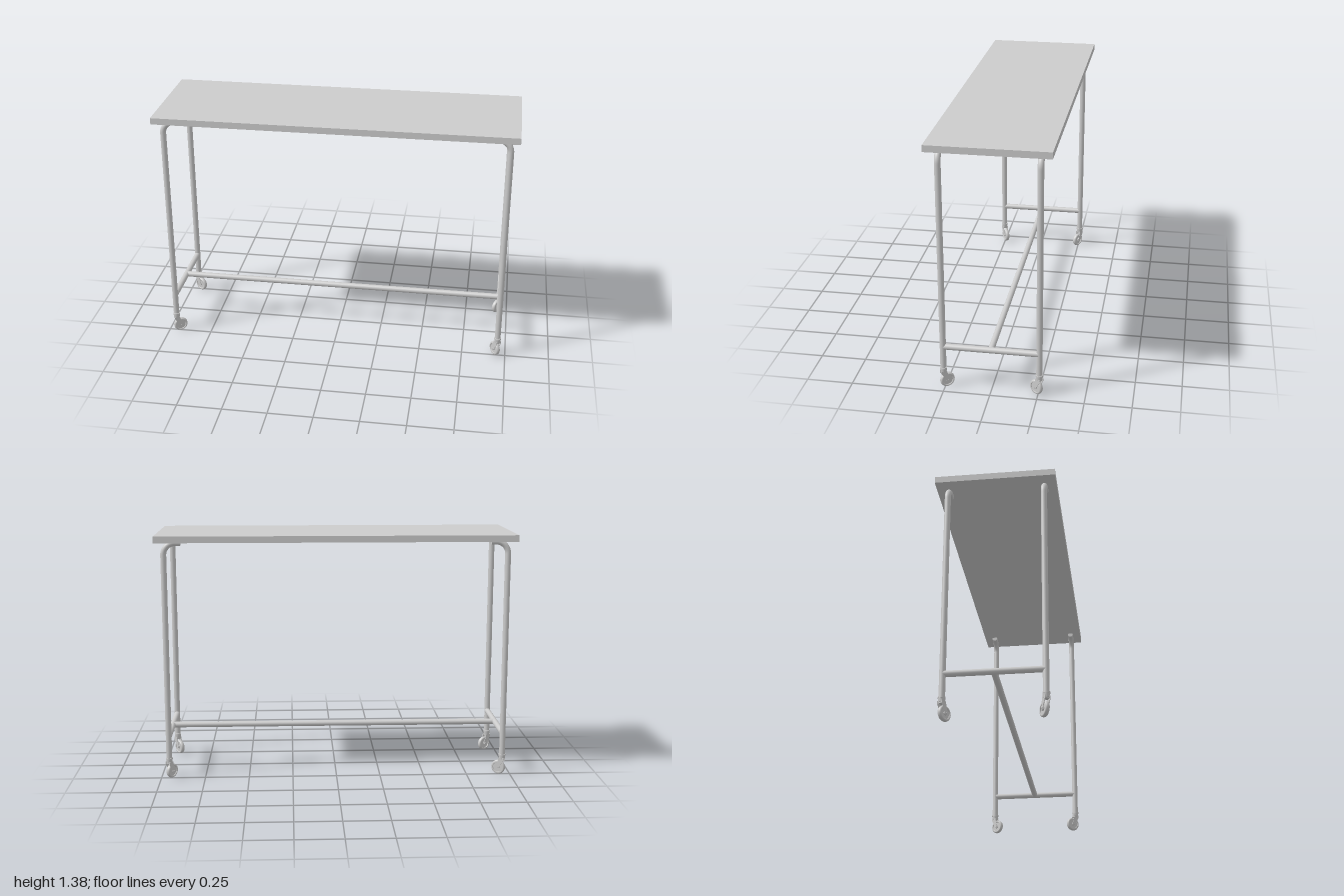
import * as THREE from 'three';

const grey = new THREE.MeshStandardMaterial({ color: 0xcccccc });
const LEG_X = 0.952, LEG_Z = 0.257, TUBE_R = 0.0165, RAIL_Y = 0.246;

function add(parent, name, geometry, x = 0, y = 0, z = 0) {
  const mesh = new THREE.Mesh(geometry, grey);
  mesh.name = name;
  mesh.position.set(x, y, z);
  parent.add(mesh);
  return mesh;
}

// Lathe around z from [radius, offset] pairs, each segment with its own crisp normals
function turned(points, segments = 40) {
  const profile = points.map(([r, o]) => new THREE.Vector2(r, o));
  return new THREE.LatheGeometry(profile, segments).rotateX(Math.PI / 2);
}

// Swivel caster; its wheel trails toward local +x
function makeCaster(heading) {
  const caster = new THREE.Group();
  caster.name = 'caster';
  const axleX = 0.021, axleY = 0.041;

  // Swivel head under the leg
  add(caster, 'stem', new THREE.CylinderGeometry(0.013, 0.013, 0.02, 24), 0, 0.122, 0);
  add(caster, 'swivelCollar', new THREE.CylinderGeometry(0.0195, 0.0195, 0.009, 32), 0, 0.1175, 0);
  add(caster, 'swivelHousing', new THREE.CylinderGeometry(0.0185, 0.0165, 0.021, 32), 0, 0.1025, 0);
  add(caster, 'forkCrown', new THREE.BoxGeometry(0.026, 0.008, 0.03), 0.001, 0.091, 0);

  // Fork arms, tapering down to the axle
  const arm = new THREE.Shape();
  arm.moveTo(-0.015, 0.1);
  arm.lineTo(0.014, 0.1);
  arm.lineTo(axleX + 0.008, axleY + 0.002);
  arm.absarc(axleX, axleY, 0.009, 0.1, -Math.PI * 0.85, true);
  arm.lineTo(-0.015, 0.085);
  arm.closePath();
  const armGeo = new THREE.ExtrudeGeometry(arm, { depth: 0.003, bevelEnabled: false, curveSegments: 12 });
  for (const z of [0.0125, -0.0155]) add(caster, 'forkArm', armGeo, 0, 0, z);

  // Wheel: rounded tyre, recessed disc, hub and axle
  add(caster, 'tyre', turned([
    [0.029, -0.011], [0.034, -0.0115], [0.038, -0.0095], [0.0402, -0.005], [0.041, 0],
    [0.0402, 0.005], [0.038, 0.0095], [0.034, 0.0115], [0.029, 0.011], [0.028, 0.007],
    [0.028, -0.007], [0.029, -0.011],
  ]), axleX, axleY, 0);
  const disc = (name, radius, width) => add(caster, name,
    new THREE.CylinderGeometry(radius, radius, width, 32).rotateX(Math.PI / 2), axleX, axleY, 0);
  disc('wheelDisc', 0.0285, 0.014);
  disc('wheelHub', 0.011, 0.024);
  disc('axle', 0.005, 0.036);

  caster.rotation.y = Math.atan2(-heading[1], heading[0]);
  return caster;
}

// Upright tube that bends inward beneath the top
function legGeometry(sx) {
  const topY = 1.344, bend = 0.066, k = bend * 0.5523;
  const v = (x, y) => new THREE.Vector3(-sx * x, y, 0);
  const path = new THREE.CurvePath();
  path.add(new THREE.LineCurve3(v(0, 0.123), v(0, topY - bend)));
  path.add(new THREE.CubicBezierCurve3(
    v(0, topY - bend), v(0, topY - bend + k), v(bend - k, topY), v(bend, topY)));
  path.add(new THREE.LineCurve3(v(bend, topY), v(0.094, topY)));
  return new THREE.TubeGeometry(path, 160, TUBE_R, 24, false);
}

export function createModel() {
  const table = new THREE.Group();
  table.name = 'rollingTable';

  add(table, 'tableTop', new THREE.BoxGeometry(2, 0.036, 0.642), 0, 1.367, 0);

  for (const sx of [1, -1]) {
    const legGeo = legGeometry(sx);
    for (const sz of [1, -1]) {
      add(table, 'leg', legGeo, sx * LEG_X, 0, sz * LEG_Z);
      // Caps closing both ends of the tube
      const foot = new THREE.CircleGeometry(TUBE_R, 24).rotateX(Math.PI / 2);
      add(table, 'legFootCap', foot, sx * LEG_X, 0.123, sz * LEG_Z);
      const end = new THREE.CircleGeometry(TUBE_R, 24).rotateY(-sx * Math.PI / 2);
      add(table, 'legTopCap', end, sx * (LEG_X - 0.094), 1.344, sz * LEG_Z);

      // The two ends have their casters swivelled to different angles
      const caster = makeCaster(sx > 0 ? [-0.58, -sz * 0.81] : [0.85, -sz * 0.52]);
      caster.position.set(sx * LEG_X, 0, sz * LEG_Z);
      table.add(caster);
    }
    // Cross rail joining front and back legs
    add(table, 'crossRail',
      new THREE.CylinderGeometry(TUBE_R, TUBE_R, LEG_Z * 2, 24).rotateX(Math.PI / 2),
      sx * LEG_X, RAIL_Y, 0);
  }

  // Long rail between the cross rails
  add(table, 'longRail',
    new THREE.CylinderGeometry(TUBE_R, TUBE_R, LEG_X * 2, 24).rotateZ(Math.PI / 2), 0, RAIL_Y, 0);

  return table;
}
